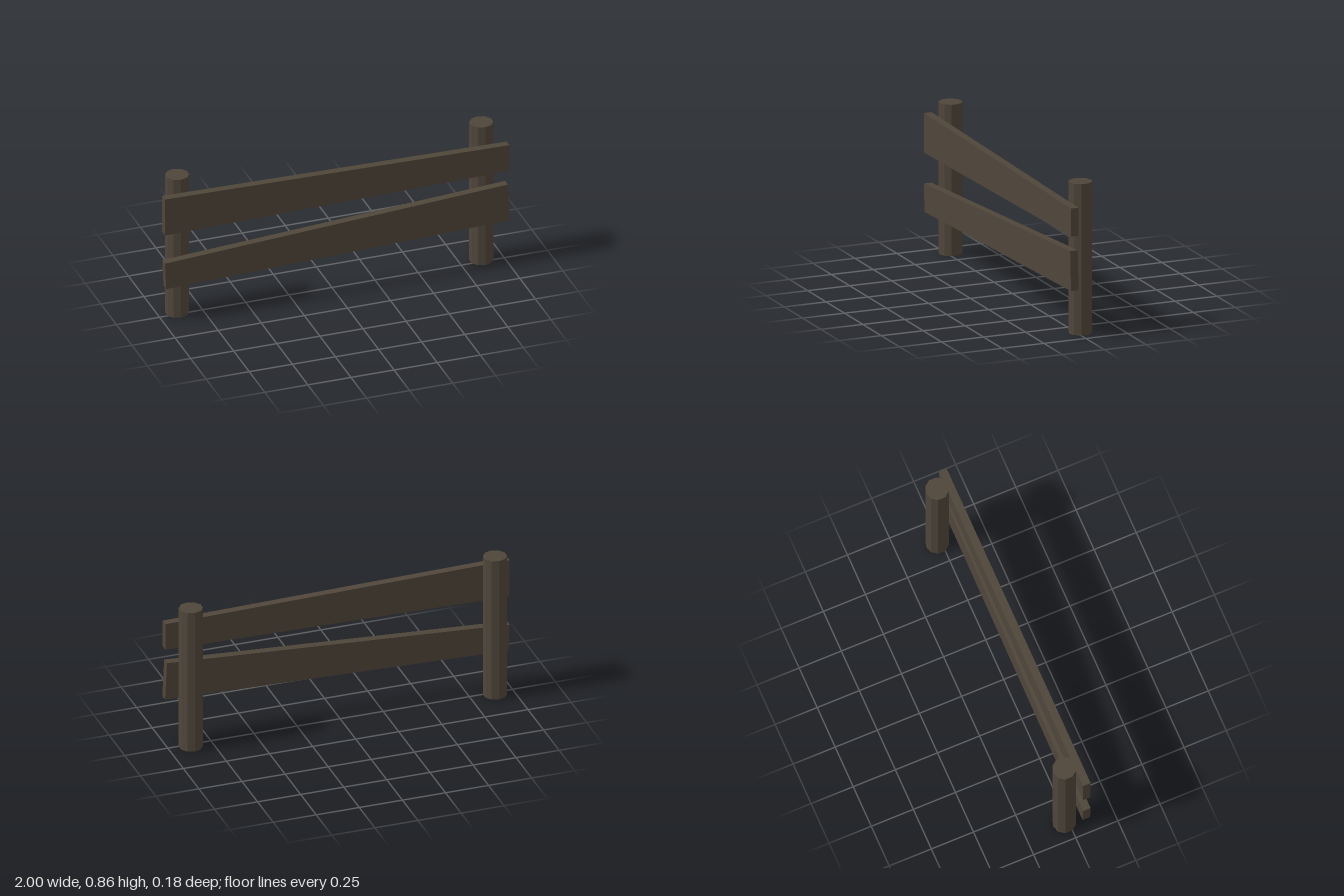
import * as THREE from 'three';

export function createModel() {
  const group = new THREE.Group();
  const wood = new THREE.MeshStandardMaterial({ color: 0x50463a, flatShading: true });
  wood.name = 'dark weathered wood';

  // Ten-sided upright posts
  const addPost = (name, x) => {
    const post = new THREE.Mesh(new THREE.CylinderGeometry(0.066, 0.066, 0.857, 10), wood);
    post.name = name;
    post.position.set(x, 0.4285, -0.0215);
    group.add(post);
  };
  addPost('rightPost', -0.891);
  addPost('leftPost', 0.874);

  // Uneven tapered planks fixed to the front of the posts
  const addRail = (name, corners) => {
    const outline = new THREE.Shape(corners.map(([x, y]) => new THREE.Vector2(x, y)));
    const geometry = new THREE.ExtrudeGeometry(outline, { depth: 0.045, bevelEnabled: false });
    const rail = new THREE.Mesh(geometry, wood);
    rail.name = name;
    rail.position.z = 0.0435;
    group.add(rail);
  };
  addRail('upperRail', [[-1, 0.553], [0.998, 0.586], [0.998, 0.745], [-1, 0.777]]);
  addRail('lowerRail', [[-0.993, 0.219], [1, 0.278], [0.989, 0.502], [-1, 0.378]]);

  return group;
}
